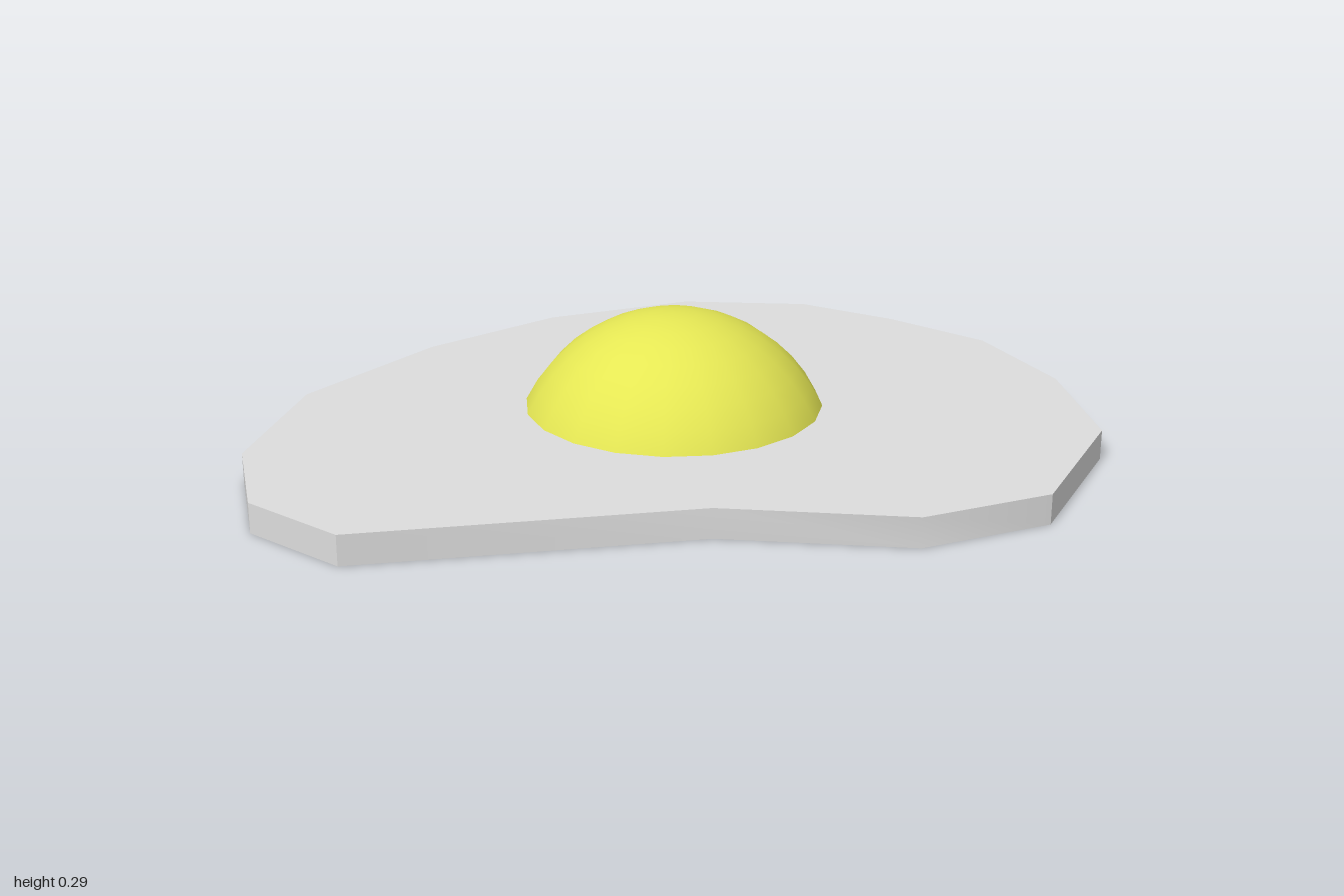
import * as THREE from 'three';
import { toCreasedNormals } from 'three/addons/utils/BufferGeometryUtils.js';

export function createModel() {
  const group = new THREE.Group();
  group.name = 'friedEgg';

  const whiteMat = new THREE.MeshStandardMaterial({ color: 0xdcdcdc });
  whiteMat.name = 'eggWhite';
  const yolkMat = new THREE.MeshStandardMaterial({ color: 0xe8ea55 });
  yolkMat.name = 'yolkYellow';

  const thickness = 0.07;

  // Egg white: irregular flat slab, outline given as x, z
  const outline = [
    [-1, -0.05], [-0.91, -0.32], [-0.64, -0.6], [-0.23, -0.76], [0.15, -0.81],
    [0.53, -0.74], [0.79, -0.55], [0.91, -0.32], [1, -0.05], [0.96, 0.27],
    [0.81, 0.59], [0.46, 0.81], [0.15, 0.76], [-0.19, 0.49], [-0.91, 0.2],
  ].map(([x, z]) => new THREE.Vector2(x, z));
  const slab = new THREE.ExtrudeGeometry(new THREE.Shape(outline), {
    depth: thickness, bevelEnabled: false,
  });
  slab.rotateX(Math.PI / 2).translate(0, thickness, 0);
  const white = new THREE.Mesh(toCreasedNormals(slab, Math.PI / 6), whiteMat);
  white.name = 'eggWhite';
  group.add(white);

  // Yolk: smooth spherical cap resting on the white
  const baseRadius = 0.352, height = 0.222;
  const radius = (baseRadius ** 2 + height ** 2) / (2 * height);
  const cap = new THREE.SphereGeometry(
    radius, 20, 8, 0, Math.PI * 2, 0, Math.asin(baseRadius / radius));
  const yolk = new THREE.Mesh(cap, yolkMat);
  yolk.name = 'yolk';
  yolk.position.set(0.08, thickness + height - radius, -0.09);
  group.add(yolk);

  return group;
}
